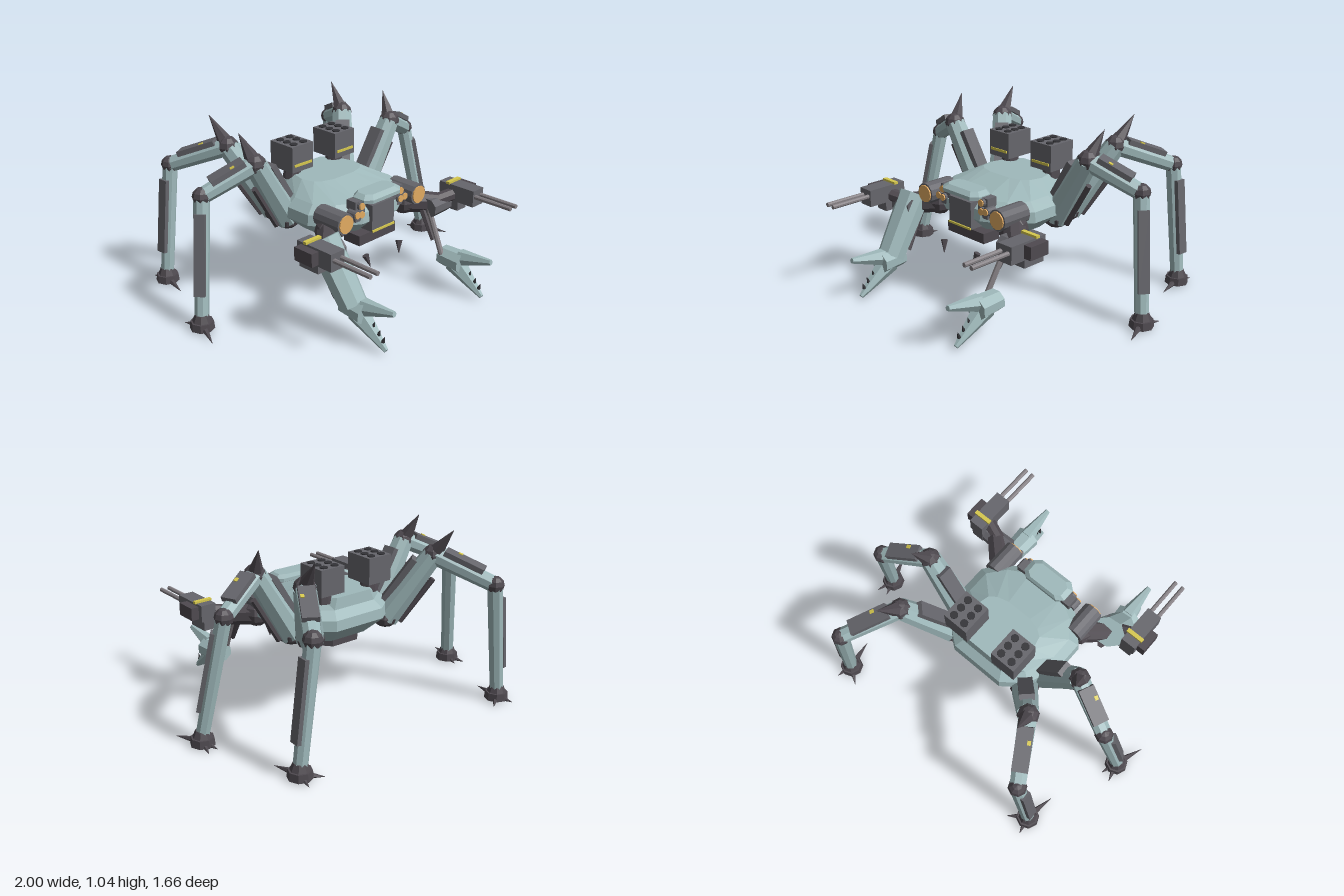
import * as THREE from 'three';

const mat = (color) => new THREE.MeshStandardMaterial({ color, flatShading: true });
const V = (x, y, z) => new THREE.Vector3(x, y, z);

export function createModel() {
  const teal = mat(0x9fb9bb), dark = mat(0x66666c), joint = mat(0x4f4a50), black = mat(0x333337);
  const steel = mat(0x858084), yellow = mat(0xd6c84e), orange = mat(0xe2ab62);
  const root = new THREE.Group();
  root.name = 'walker';

  const add = (parent, name, geo, material, x = 0, y = 0, z = 0) => {
    const m = new THREE.Mesh(geo, material);
    m.name = name;
    m.position.set(x, y, z);
    parent.add(m);
    return m;
  };
  const box = (p, name, material, w, h, d, x, y, z) => add(p, name, new THREE.BoxGeometry(w, h, d), material, x, y, z);
  const ball = (p, name, c, r) => add(p, name, new THREE.SphereGeometry(r, 8, 6), joint, c.x, c.y, c.z);

  // frame from a to b: local y runs along the segment, local z faces up or outward
  const frame = (p, name, a, b, hint = V(0, 1, 0)) => {
    const g = new THREE.Group();
    const y = b.clone().sub(a).normalize();
    const x = y.clone().cross(hint).normalize();
    g.quaternion.setFromRotationMatrix(new THREE.Matrix4().makeBasis(x, y, x.clone().cross(y)));
    g.position.copy(a);
    g.name = name;
    p.add(g);
    return g;
  };
  // tapered prism between two points, returned as its frame
  const rod = (p, name, material, a, b, r0, r1, sides = 8, hint) => {
    const g = frame(p, name, a, b, hint), len = a.distanceTo(b);
    const geo = new THREE.CylinderGeometry(r1, r0, len, sides);
    geo.rotateY(Math.PI / sides);
    add(g, name, geo, material, 0, len / 2, 0);
    return g;
  };

  // faceted solid from horizontal rings; each ring is [y, half outline from back to front]
  const loft = (rings) => {
    const loops = rings.map(([y, half]) => [
      ...half.map(([x, z]) => V(x, y, z)),
      ...half.map(([x, z]) => V(-x, y, z)).reverse(),
    ]);
    const n = loops[0].length, pts = [];
    for (let k = 0; k + 1 < loops.length; k++) {
      const L = loops[k], U = loops[k + 1];
      for (let i = 0; i < n; i++) {
        const j = (i + 1) % n;
        pts.push(L[i], U[j], L[j], L[i], U[i], U[j]);
      }
    }
    const bottom = loops[0], top = loops[loops.length - 1];
    for (let i = 1; i < n - 1; i++) pts.push(bottom[0], bottom[i], bottom[i + 1], top[0], top[i + 1], top[i]);
    const geo = new THREE.BufferGeometry().setFromPoints(pts);
    geo.computeVertexNormals();
    return geo;
  };
  const scaled = (half, k) => half.map(([x, z]) => [x * k, z * k]);

  // hull and belly plate
  const outline = [[0.17, -0.33], [0.3, -0.23], [0.375, -0.03], [0.375, 0.14], [0.28, 0.26], [0.14, 0.34]];
  const roof = [[0.12, -0.27], [0.18, -0.2], [0.21, -0.08], [0.19, 0], [0.15, 0.03], [0.08, 0.05]];
  add(root, 'hull', loft([
    [0.43, scaled(outline, 0.68)], [0.53, outline], [0.59, scaled(outline, 0.98)],
    [0.635, scaled(outline, 0.84)], [0.7, roof],
  ]), teal);
  const belly = [[0.09, -0.2], [0.155, -0.12], [0.155, 0.1], [0.13, 0.15]];
  add(root, 'bellyPlate', loft([[0.38, belly], [0.45, belly]]), joint);

  // head with visor
  box(root, 'head', dark, 0.18, 0.16, 0.14, 0, 0.55, 0.29);
  box(root, 'headBand', yellow, 0.18, 0.012, 0.01, 0, 0.475, 0.363);
  box(root, 'jaw', joint, 0.3, 0.06, 0.12, 0, 0.42, 0.26);
  const visor = [[0.11, 0.24], [0.15, 0.27], [0.15, 0.35], [0.11, 0.385]];
  add(root, 'visor', loft([
    [0.655, visor], [0.675, visor], [0.697, visor.map(([x, z]) => [x * 0.8, 0.25 + (z - 0.24) * 0.75])],
  ]), teal);

  const leg = (s, name, pts, toes) => {
    const g = new THREE.Group();
    g.name = name;
    root.add(g);
    const [hip, knee, ankleTop, foot, tip] = pts.map(([x, y, z]) => V(s * x, y, z));
    ball(g, 'hipJoint', hip, 0.085).scale.y = 0.75;

    // thigh with top plate and piston
    const thigh = rod(g, 'thigh', teal, hip, knee, 0.082, 0.062);
    const tl = hip.distanceTo(knee);
    box(thigh, 'thighPlate', dark, 0.085, tl * 0.66, 0.035, 0, tl * 0.5, 0.07);
    add(thigh, 'thighPiston', new THREE.CylinderGeometry(0.018, 0.018, tl * 0.7, 6), joint, 0, tl * 0.4, -0.085);
    ball(g, 'kneeJoint', knee, 0.062);
    rod(g, 'kneeSpike', joint, knee.clone().lerp(tip, 0.15), tip, 0.045, 0.001, 6);

    // middle segment
    const mid = rod(g, 'midSegment', teal, knee, ankleTop, 0.054, 0.046);
    const ml = knee.distanceTo(ankleTop);
    box(mid, 'midPlate', dark, 0.09, ml * 0.62, 0.03, 0, ml * 0.46, 0.05);
    box(mid, 'midMark', yellow, 0.02, 0.025, 0.006, 0.028 * s, ml * 0.36, 0.067);
    ball(g, 'lowerJoint', ankleTop, 0.053);

    // shin and foot
    const shin = rod(g, 'shin', teal, ankleTop, foot, 0.046, 0.04);
    const sl = ankleTop.distanceTo(foot);
    box(shin, 'shinPlate', dark, 0.062, sl * 0.66, 0.025, 0, sl * 0.46, 0.042);
    const { x, z } = foot;
    add(g, 'footCuff', new THREE.CylinderGeometry(0.038, 0.055, 0.04, 8), joint, x, 0.075, z);
    add(g, 'foot', new THREE.CylinderGeometry(0.065, 0.07, 0.045, 8), joint, x, 0.032, z);
    for (const [tx, tz] of toes) rod(g, 'toe', joint, V(x, 0.025, z), V(s * tx, 0.01, tz), 0.026, 0.001, 6);
  };

  for (const s of [1, -1]) {
    leg(s, 'middleLeg', [
      [0.31, 0.49, -0.1], [0.54, 0.875, -0.09], [0.82, 0.735, -0.21], [0.93, 0.06, -0.125], [0.575, 1.04, -0.18],
    ], [[0.995, 0.045], [0.965, -0.24], [0.9, -0.225]]);
    leg(s, 'rearLeg', [
      [0.28, 0.49, -0.23], [0.46, 0.875, -0.42], [0.65, 0.735, -0.73], [0.73, 0.06, -0.725], [0.49, 1.04, -0.545],
    ], [[0.765, -0.55], [0.755, -0.83], [0.63, -0.8]]);

    // rocket pod with six tubes
    const pod = new THREE.Group();
    pod.name = 'rocketPod';
    pod.position.set(s * 0.17, 0, -0.203);
    root.add(pod);
    add(pod, 'podStem', new THREE.CylinderGeometry(0.045, 0.055, 0.08, 8), joint, 0, 0.71, 0);
    box(pod, 'podBox', dark, 0.16, 0.155, 0.185, 0, 0.812, 0);
    box(pod, 'podBand', yellow, 0.13, 0.015, 0.008, 0, 0.775, 0.094);
    for (const x of [-0.037, 0.037]) for (const z of [-0.057, 0, 0.057])
      add(pod, 'rocketTube', new THREE.CylinderGeometry(0.023, 0.023, 0.008, 10), black, x, 0.891, z);

    // lamps
    const lamp = (name, r, len, x, y, z) => {
      add(root, name + 'Housing', new THREE.CylinderGeometry(r * 1.2, r * 1.2, len, 12).rotateX(Math.PI / 2), dark, x, y, z - len / 2);
      add(root, name, new THREE.CylinderGeometry(r, r, 0.01, 12).rotateX(Math.PI / 2), orange, x, y, z + 0.003);
    };
    lamp('headLamp', 0.052, 0.19, s * 0.3, 0.585, 0.36);
    for (const [x, y] of [[0.16, 0.645], [0.16, 0.595], [0.195, 0.6]]) lamp('smallLamp', 0.02, 0.06, s * x, y, 0.345);
    box(root, 'lampBox', dark, 0.075, 0.12, 0.07, s * 0.155, 0.61, 0.295);

    // fang under the head
    rod(root, 'fang', joint, V(s * 0.14, 0.345, 0.36), V(s * 0.12, 0.275, 0.38), 0.021, 0.002, 6);

    // shoulder and upper arm
    const arm = new THREE.Group();
    arm.name = 'frontArm';
    root.add(arm);
    ball(arm, 'shoulder', V(s * 0.31, 0.51, 0.24), 0.08);
    rod(arm, 'upperArm', joint, V(s * 0.3, 0.51, 0.23), V(s * 0.46, 0.49, 0.38), 0.07, 0.06);
    rod(arm, 'elbow', dark, V(s * 0.37, 0.48, 0.38), V(s * 0.53, 0.48, 0.38), 0.06, 0.055);
    rod(arm, 'gunMount', joint, V(s * 0.45, 0.51, 0.38), V(s * 0.56, 0.53, 0.42), 0.04, 0.04);

    // twin gun
    box(arm, 'gunBody', dark, 0.095, 0.1, 0.25, s * 0.582, 0.545, 0.455);
    box(arm, 'gunBreech', dark, 0.08, 0.12, 0.14, s * 0.575, 0.5, 0.4);
    box(arm, 'ammoBox', joint, 0.05, 0.075, 0.13, s * 0.653, 0.545, 0.425);
    box(arm, 'gunBand', yellow, 0.11, 0.015, 0.025, s * 0.582, 0.6, 0.395);
    for (const x of [0.555, 0.607])
      rod(arm, 'gunBarrel', steel, V(s * x, 0.555, 0.55), V(s * x, 0.555, 0.83), 0.013, 0.013, 8);

    // forearm: armoured on the right, bare rods on the left
    if (s < 0) {
      const a = V(-0.44, 0.54, 0.33), b = V(-0.42, 0.21, 0.54);
      const fore = rod(arm, 'armouredForearm', teal, a, b, 0.1, 0.085, 8);
      fore.scale.set(1.03, 1, 0.85);
      rod(arm, 'forearmPiston', joint, V(-0.44, 0.44, 0.28), V(-0.42, 0.21, 0.41), 0.025, 0.02, 6);
    } else {
      rod(arm, 'forearmRod', steel, V(0.39, 0.52, 0.35), V(0.365, 0.22, 0.5), 0.017, 0.017);
      rod(arm, 'forearmPiston', joint, V(0.37, 0.48, 0.33), V(0.355, 0.3, 0.44), 0.022, 0.014, 6);
    }

    // claw with two prongs and small teeth
    const cx = s * 0.413;
    const palm = rod(arm, 'clawPalm', teal, V(cx, 0.2, 0.475), V(cx, 0.195, 0.63), 0.068, 0.078, 8);
    palm.scale.z = 0.85;
    rod(arm, 'upperProng', teal, V(cx, 0.225, 0.61), V(cx, 0.265, 0.82), 0.05, 0.016, 6);
    rod(arm, 'lowerProng', teal, V(cx, 0.18, 0.56), V(cx, 0.025, 0.77), 0.066, 0.014, 6);
    for (const t of [0.45, 0.65, 0.82]) {
      const c = V(cx, 0.2, 0.585).lerp(V(cx, 0.04, 0.78), t);
      rod(arm, 'clawTooth', black, c, c.clone().add(V(0, 0.035, 0.012)), 0.012, 0.001, 5, V(0, 0, 1));
    }
  }
  return root;
}
